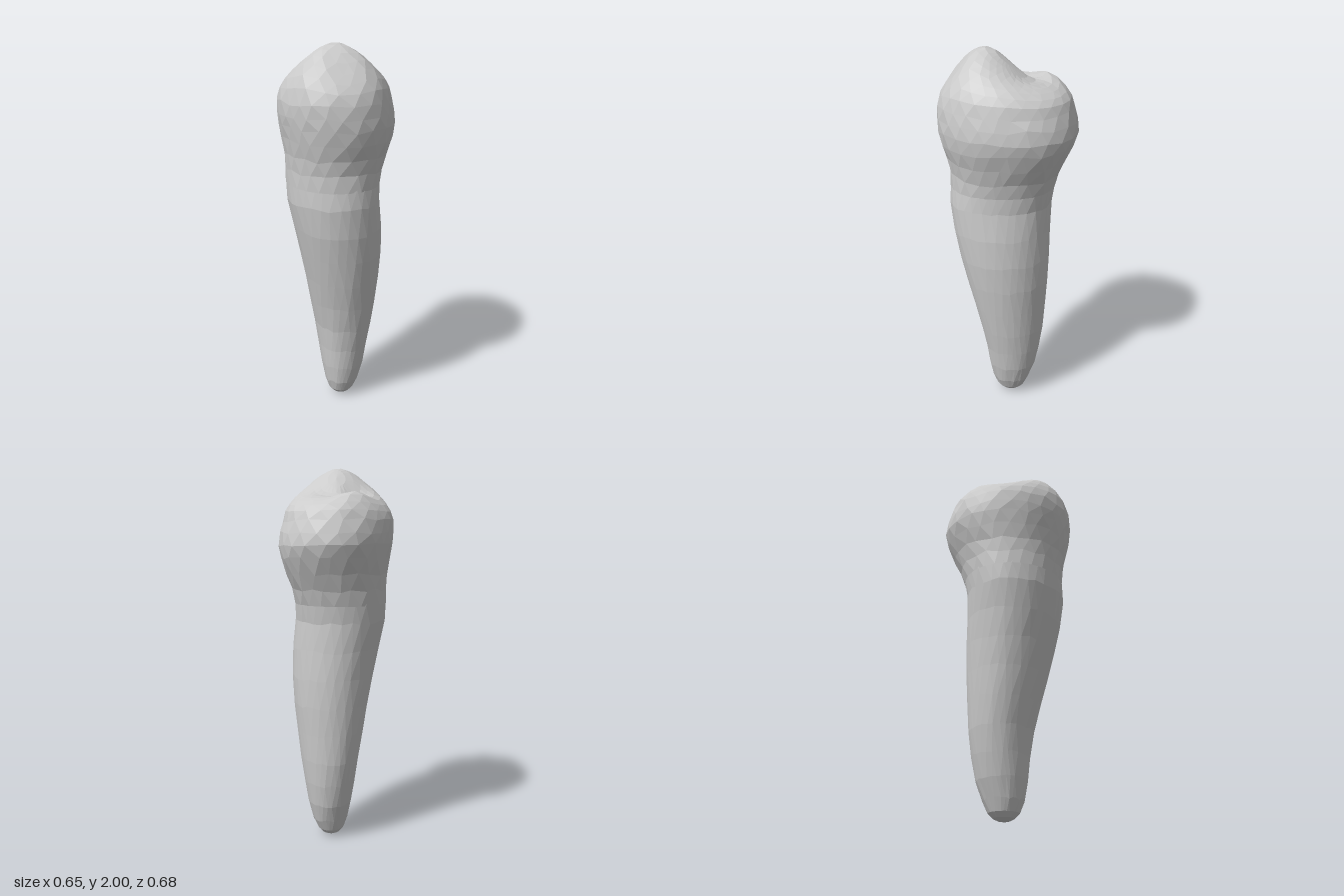
import * as THREE from 'three';

const material = new THREE.MeshStandardMaterial({ color: 0xcccccc, flatShading: true });

// Small repeatable irregularity in the range -1..1
const noise = (i, j) => {
  const v = Math.sin(i * 127.1 + j * 311.7) * 43758.5453;
  return (v - Math.floor(v)) * 2 - 1;
};

// Section levels: [y, xMin, xMax, zMin, zMax]
const rootRows = [
  [0.003, -0.025, 0.03, -0.05, 0.005],
  [0.015, -0.048, 0.052, -0.075, 0.03],
  [0.04, -0.068, 0.075, -0.1, 0.054],
  [0.1, -0.09, 0.1, -0.13, 0.075],
  [0.2, -0.12, 0.125, -0.16, 0.09],
  [0.32, -0.145, 0.145, -0.18, 0.1],
  [0.45, -0.167, 0.173, -0.194, 0.118],
  [0.6, -0.183, 0.203, -0.204, 0.152],
  [0.75, -0.196, 0.231, -0.214, 0.19],
  [0.9, -0.211, 0.254, -0.216, 0.228],
  [1.05, -0.23, 0.269, -0.211, 0.264],
  [1.2, -0.256, 0.273, -0.206, 0.29],
  [1.3, -0.265, 0.266, -0.223, 0.29],
  [1.36, -0.262, 0.262, -0.238, 0.285],
];
const crownRows = [
  [1.29, -0.266, 0.268, -0.224, 0.292],
  [1.37, -0.27, 0.27, -0.25, 0.294],
  [1.45, -0.28, 0.285, -0.288, 0.302],
  [1.53, -0.302, 0.308, -0.323, 0.317],
  [1.6, -0.318, 0.318, -0.337, 0.328],
  [1.66, -0.319, 0.316, -0.328, 0.335],
  [1.72, -0.31, 0.308, -0.308, 0.336],
];

// Corner fullness of the sections: [left front, right front, right back, left back]
const rootCorners = [0.06, -0.03, 0.06, -0.05];
const neckCorners = [0.07, -0.03, 0.03, -0.11];
const crownCorners = [0.115, -0.045, 0.08, -0.11];

// One closed ring with slightly irregular spacing
function ring([y, x0, x1, z0, z1], sides, corners, jitter, level) {
  return Array.from({ length: sides }, (_, i) => {
    const a = ((i + 0.5 + level * 0.5 + noise(i, level) * jitter) / sides) * Math.PI * 2;
    const quadrant = Math.floor(a / (Math.PI / 2) + 4) % 4;
    const m = 1 + corners[quadrant] * Math.abs(Math.sin(2 * a));
    return new THREE.Vector3(
      (x0 + x1) / 2 + ((x1 - x0) / 2) * Math.cos(a) * m,
      y + noise(i + 7, level) * jitter * 0.05,
      (z0 + z1) / 2 + ((z1 - z0) / 2) * Math.sin(a) * m
    );
  });
}

// Skin stacked rings from bottom to top
function loft(rings) {
  const n = rings[0].length;
  const index = [];
  for (let j = 0; j < rings.length - 1; j++) {
    for (let i = 0; i < n; i++) {
      const a = j * n + i, b = j * n + ((i + 1) % n);
      index.push(a, a + n, b, b, a + n, b + n);
    }
  }
  const g = new THREE.BufferGeometry().setFromPoints(rings.flat());
  g.setIndex(index);
  g.computeVertexNormals();
  return g;
}

// Height of the chewing surface
function chewingHeight(x, z) {
  const bump = (cx, cz, sx, sz) => Math.exp(-(((x - cx) / sx) ** 2) - ((z - cz) / sz) ** 2);
  return 1.84
    + 0.165 * bump(0.07, 0.11, x > 0.07 ? 0.27 : 0.16, z > 0.11 ? 0.35 : 0.18) // main cusp
    + 0.045 * bump(-0.22, -0.08, 0.07, 0.12) // small side cusp
    + 0.03 * bump(-0.14, 0.22, 0.1, 0.1) // front corner ridge
    + 0.02 * bump(0.18, -0.16, 0.1, 0.1) // back corner ridge
    - 0.07 * bump(0.22, 0.23, 0.12, 0.12) // sloping front corner
    - 0.015 * bump(-0.04, -0.1, 0.1, 0.05) // back hollow
    - 0.04 * bump(-0.13, 0.02, 0.05, 0.08); // side pit
}

export function createModel() {
  const tooth = new THREE.Group();
  tooth.name = 'tooth';
  const add = (name, rings) => {
    const mesh = new THREE.Mesh(loft(rings), material);
    mesh.name = name;
    tooth.add(mesh);
  };

  // Blend from one set of corners to another
  const mix = (from, to, t) =>
    from.map((c, i) => THREE.MathUtils.lerp(c, to[i], THREE.MathUtils.clamp(t, 0, 1)));

  // Tapering root, closed at its tip
  const rootSides = 32;
  const rootRings = rootRows.map((r, j) =>
    ring(r, rootSides, mix(rootCorners, neckCorners, (r[0] - 1) / 0.25), j > 2 ? 0.15 : 0, j));
  rootRings.unshift(Array.from({ length: rootSides }, () => new THREE.Vector3(0, 0, -0.022)));
  add('root', rootRings);

  // Crown wall, from the neck to the rim
  const sides = 24;
  const crownRings = crownRows.map((r, j) =>
    ring(r, sides, mix(neckCorners, crownCorners, (r[0] - 1.33) / 0.25), j > 0 ? 0.2 : 0, j));

  // Crown top, rings shrinking inwards over the chewing surface
  const rim = crownRows[crownRows.length - 1];
  const cx = (rim[1] + rim[2]) / 2, cz = (rim[3] + rim[4]) / 2;
  [0.95, 0.87, 0.77, 0.66, 0.54, 0.42, 0.3, 0.16, 0].forEach((s, k) => {
    const level = crownRows.length + k;
    crownRings.push(ring(rim, sides, crownCorners, 0.2, level).map((p) => {
      const x = cx + (p.x - cx) * s, z = cz + (p.z - cz) * s;
      const rise = (1 - s ** 4) ** 0.6;
      return new THREE.Vector3(x, rim[0] + (chewingHeight(x, z) - rim[0]) * rise, z);
    }));
  });
  add('crown', crownRings);
  return tooth;
}
